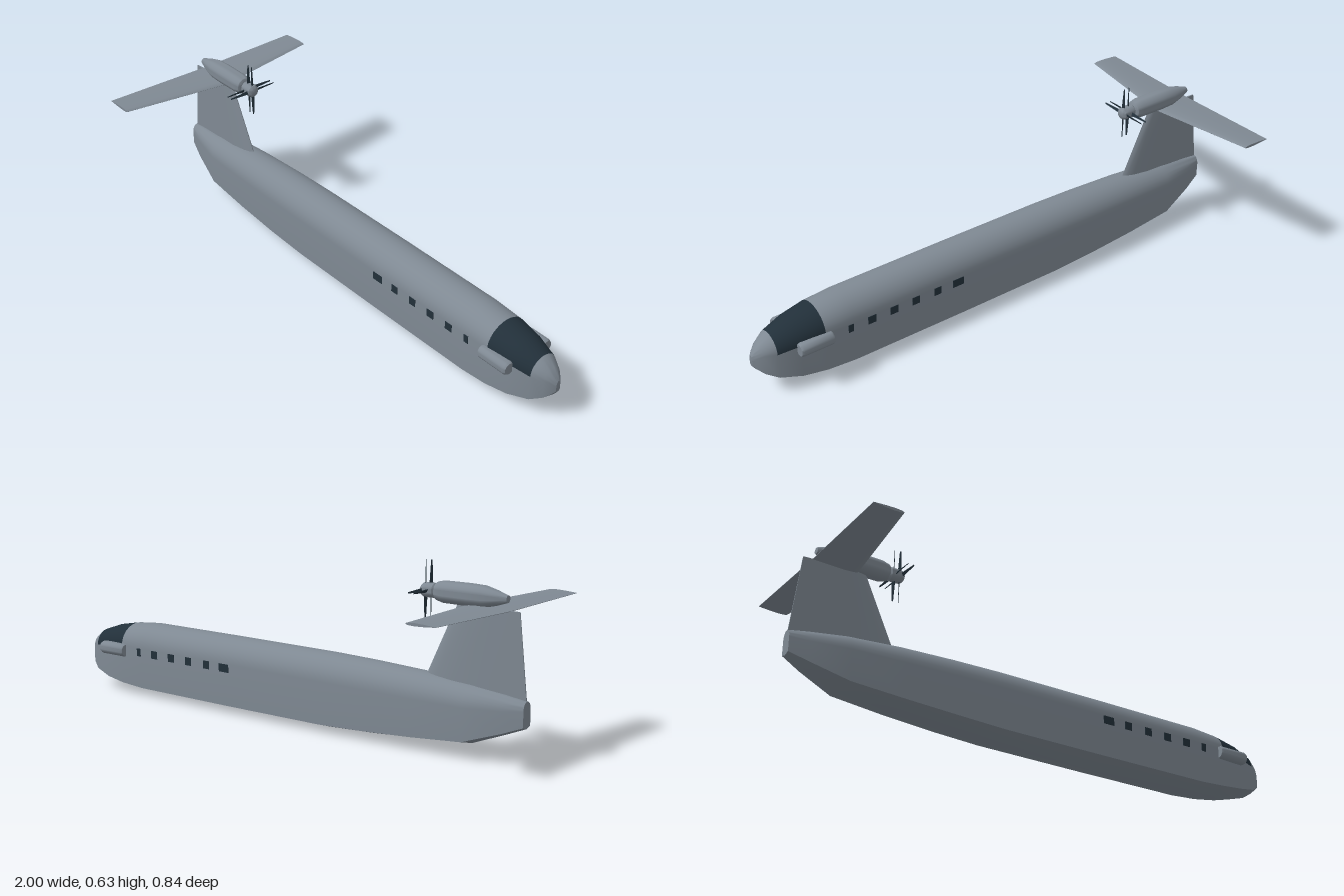
import * as THREE from 'three';
import { toCreasedNormals } from 'three/addons/utils/BufferGeometryUtils.js';

const grey = new THREE.MeshStandardMaterial({ color: 0x7f8993 });
grey.name = 'hull grey';
const dark = new THREE.MeshStandardMaterial({ color: 0x22303a });
dark.name = 'dark glass';

// Skin closed rings of points; isDark(i, j) picks the quads of the second material
function loft(rings, isDark = () => false) {
  const n = rings[0].length;
  const pos = rings.flat(2);
  const parts = [[], []];
  for (let i = 0; i < rings.length - 1; i++) {
    for (let j = 0; j < n; j++) {
      const k = (j + 1) % n;
      const a = i * n + j, b = i * n + k, c = a + n, d = b + n;
      parts[isDark(i, j) ? 1 : 0].push(a, c, b, b, c, d);
    }
  }
  // flat end caps
  [0, rings.length - 1].forEach((r) => {
    const centre = pos.length / 3;
    for (let q = 0; q < 3; q++) pos.push(rings[r].reduce((s, p) => s + p[q], 0) / n);
    for (let j = 0; j < n; j++) {
      const a = r * n + j, b = r * n + (j + 1) % n;
      parts[0].push(centre, ...(r === 0 ? [a, b] : [b, a]));
    }
  });
  const g = new THREE.BufferGeometry();
  g.setAttribute('position', new THREE.Float32BufferAttribute(pos, 3));
  g.setIndex([...parts[0], ...parts[1]]);
  g.addGroup(0, parts[0].length, 0);
  if (parts[1].length) g.addGroup(parts[0].length, parts[1].length, 1);
  return toCreasedNormals(g, 0.6);
}

// Airfoil outline as [chord fraction from the leading edge, thickness fraction]
const half = [[0.03, 0.45], [0.12, 0.8], [0.3, 1], [0.6, 0.75], [1, 0.1]];
const airfoil = [[0, 0], ...half, ...half.map(([c, t]) => [c, -t]).reverse()];

function mesh(name, geometry, material, parent) {
  const m = new THREE.Mesh(geometry, material);
  m.name = name;
  parent.add(m);
  return m;
}

// Turned part lying along x, from [x, radius] points
function turned(points) {
  const g = new THREE.LatheGeometry(points.map(([x, r]) => new THREE.Vector2(r, x)), 24);
  g.rotateZ(-Math.PI / 2);
  return toCreasedNormals(g, 0.6);
}

export function createModel() {
  const model = new THREE.Group();
  model.name = 'aircraft';

  // Fuselage stations: x, half width, keel, chine, shoulder and top heights
  const stations = [
    [-1.0, 0.022, 0.125, 0.132, 0.185, 0.215],
    [-0.93, 0.042, 0.096, 0.105, 0.178, 0.227],
    [-0.8, 0.071, 0.045, 0.062, 0.175, 0.244],
    [-0.6, 0.08, 0.026, 0.047, 0.177, 0.26],
    [-0.4, 0.086, 0.011, 0.036, 0.18, 0.268],
    [-0.22, 0.088, 0.002, 0.029, 0.182, 0.272],
    [0.2, 0.089, 0, 0.028, 0.184, 0.273],
    [0.65, 0.089, 0.002, 0.029, 0.184, 0.272],
    [0.76, 0.087, 0.013, 0.036, 0.183, 0.262],
    [0.85, 0.078, 0.027, 0.047, 0.172, 0.245],
    [0.93, 0.059, 0.05, 0.065, 0.16, 0.218],
    [0.97, 0.038, 0.075, 0.086, 0.15, 0.19],
    [0.99, 0.021, 0.097, 0.104, 0.142, 0.169],
    [1.0, 0.009, 0.112, 0.116, 0.137, 0.155],
  ];
  const arcSteps = 16;
  const hullRings = stations.map(([x, w, keel, chine, shoulder, top]) => {
    const ring = [[x, keel, 0], [x, chine, w]];
    for (let s = 0; s <= arcSteps; s++) {
      const t = (Math.PI * s) / arcSteps;
      ring.push([x, shoulder + (top - shoulder) * Math.sin(t), w * Math.cos(t)]);
    }
    ring.push([x, chine, -w]);
    return ring;
  });
  // windscreen wraps over the upper arc between two stations
  const windscreen = (i, j) => (i === 8 || i === 9) && j >= 2 && j < 2 + arcSteps;
  mesh('fuselage', loft(hullRings, windscreen), [grey, dark], model);

  // Cabin windows, on both sides
  const windows = [[0.22, 0.046], [0.308, 0.03], [0.4, 0.03], [0.49, 0.032], [0.58, 0.032], [0.664, 0.02]];
  for (const side of [1, -1]) {
    for (const [x, w] of windows) {
      mesh('cabinWindow', new THREE.BoxGeometry(w, 0.03, 0.004), dark, model)
        .position.set(x, 0.168, side * 0.0885);
    }
    // Cheek pods beside the cockpit
    mesh('cheekPod', turned([[-0.064, 0], [-0.064, 0.022], [-0.058, 0.025], [0.054, 0.025], [0.062, 0.021], [0.062, 0]]), grey, model)
      .position.set(0.802, 0.166, side * 0.087);
  }

  // Tail fin: height, leading edge, trailing edge, half thickness
  const finRings = [[0.2, -0.592, -0.999, 0.021], [0.497, -0.73, -0.965, 0.012]]
    .map(([y, le, te, th]) => airfoil.map(([c, t]) => [le + (te - le) * c, y, th * t]));
  mesh('tailFin', loft(finRings), grey, model);

  // Tailplane: z, height, leading edge, half thickness
  const planeRings = [[0.42, 0.503, -0.822, 0.005], [0, 0.496, -0.765, 0.008], [-0.42, 0.503, -0.822, 0.005]]
    .map(([z, y, le, th]) => airfoil.map(([c, t]) => [le + (-0.932 - le) * c, y + th * t, z]));
  mesh('tailplane', loft(planeRings), grey, model);

  // Engine on top of the tail
  const engine = new THREE.Group();
  engine.name = 'engine';
  engine.position.y = 0.533;
  model.add(engine);
  mesh('nacelle', turned([[-0.922, 0], [-0.92, 0.012], [-0.88, 0.025], [-0.835, 0.036], [-0.78, 0.038],
    [-0.68, 0.037], [-0.655, 0.031], [-0.648, 0.02], [-0.648, 0]]), grey, engine);
  mesh('spinner', turned([[-0.65, 0.018], [-0.643, 0.025], [-0.617, 0.025], [-0.6, 0.023], [-0.592, 0.015], [-0.589, 0]]), grey, engine);

  // Two contra-rotating rows of four tapered, pitched blades
  [-0.627, -0.605].forEach((x, row) => {
    const propeller = new THREE.Group();
    propeller.name = 'propeller';
    propeller.position.x = x;
    engine.add(propeller);
    for (let i = 0; i < 4; i++) {
      const g = new THREE.BoxGeometry(0.003, 0.085, 0.013);
      const p = g.attributes.position;
      for (let v = 0; v < p.count; v++) {
        if (p.getY(v) > 0) p.setXYZ(v, p.getX(v) * 0.5, p.getY(v), p.getZ(v) * 0.35);
      }
      g.rotateY(row ? 0.5 : -0.5);
      g.translate(0, 0.0575, 0);
      g.rotateX((i * Math.PI) / 2);
      g.computeVertexNormals();
      mesh('blade', g, dark, propeller);
    }
  });

  return model;
}
